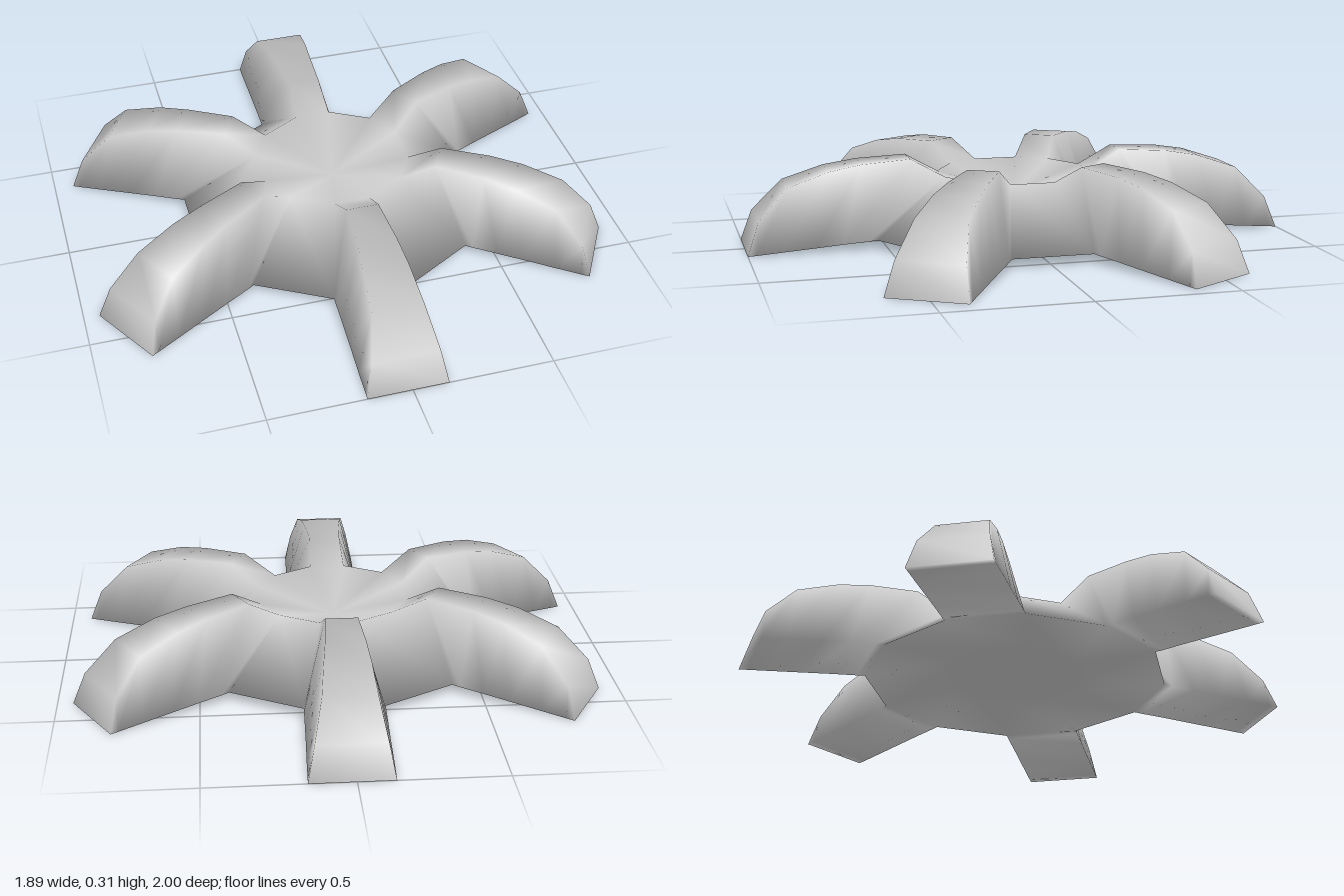
import * as THREE from 'three';
import { mergeGeometries, mergeVertices } from 'three/addons/utils/BufferGeometryUtils.js';

// Leg stations: [ridge r, ridge half-width, ridge y, hem r, hem half-width, hem y]
const STATIONS = [
  [0.275, 0.065, 0.24, 0.54, 0.142, 0.035],
  [0.40, 0.058, 0.31, 0.57, 0.142, 0.032],
  [0.58, 0.070, 0.30, 0.66, 0.142, 0.026],
  [0.70, 0.080, 0.28, 0.76, 0.142, 0.018],
  [0.85, 0.092, 0.23, 0.88, 0.143, 0.009],
  [0.96, 0.120, 0.115, 0.97, 0.143, 0.002],
  [1.00, 0.143, 0.00, 1.00, 0.143, 0.00],
];
const STEP = Math.PI / 3;

// One sixth of the solid: a leg along +z, its hub wedges and the wall to the next leg
function sectorGeometry() {
  const tris = [];
  const up = new THREE.Vector3(0, 1, 0);
  const tri = (...pts) => pts.forEach((p) => tris.push(p.x, p.y, p.z));
  const quad = (a, b, c, d) => { tri(a, b, c); tri(a, c, d); };
  // legs lean slightly sideways towards their tips
  const point = (x, y, r) => new THREE.Vector3(x - 0.015 * Math.max(0, (r - 0.54) / 0.46), y, r);
  const next = (p) => p.clone().applyAxisAngle(up, STEP);

  const rows = STATIONS.map(([r, w, y, hr, hw, hy]) => [
    point(-hw, hy, hr), point(-w, y, r), point(w, y, r), point(hw, hy, hr),
  ]);
  // leg skin: side, top, side, and the flat sole
  for (let i = 0; i < rows.length - 1; i++) {
    const [a0, a1, a2, a3] = rows[i], [b0, b1, b2, b3] = rows[i + 1];
    const tip = i === rows.length - 2;
    quad(a1, b1, b2, a2);
    quad(a3, b3, b0, a0);
    if (tip) {
      // the side strips close to a point at the tip corners
      tri(a0, b0, a1);
      tri(a2, b2, a3);
    } else {
      quad(a0, b0, b1, a1);
      quad(a2, b2, b3, a3);
    }
  }
  // dished hub top and the sloping wall between neighbouring legs
  const [hemL, left, right, hemR] = rows[0];
  const dish = new THREE.Vector3(0, 0.155, 0);
  tri(dish, left, right);
  tri(dish, right, next(left));
  quad(right, hemR, next(hemL), next(left));

  // hub underside: shallow ring around the centre
  const ringL = point(-0.065, 0.055, 0.25), ringR = point(0.065, 0.055, 0.25);
  const base = new THREE.Vector3(0, 0.045, 0);
  tri(base, ringR, ringL);
  tri(base, next(ringL), ringR);
  quad(ringR, hemR, hemL, ringL);
  quad(next(ringL), next(hemL), hemR, ringR);

  const geo = new THREE.BufferGeometry();
  geo.setAttribute('position', new THREE.Float32BufferAttribute(tris, 3));
  return geo;
}

export function createModel() {
  const group = new THREE.Group();
  group.name = 'sixLeggedStar';
  const sector = sectorGeometry();
  const parts = [];
  for (let k = 0; k < 6; k++) parts.push(sector.clone().rotateY(k * STEP));
  // weld the sectors so the shading runs smoothly over hub and legs
  const geo = mergeVertices(mergeGeometries(parts), 1e-4);
  geo.computeVertexNormals();
  const body = new THREE.Mesh(geo, new THREE.MeshStandardMaterial({ color: 0xcccccc }));
  body.name = 'starBody';
  group.add(body);
  return group;
}
